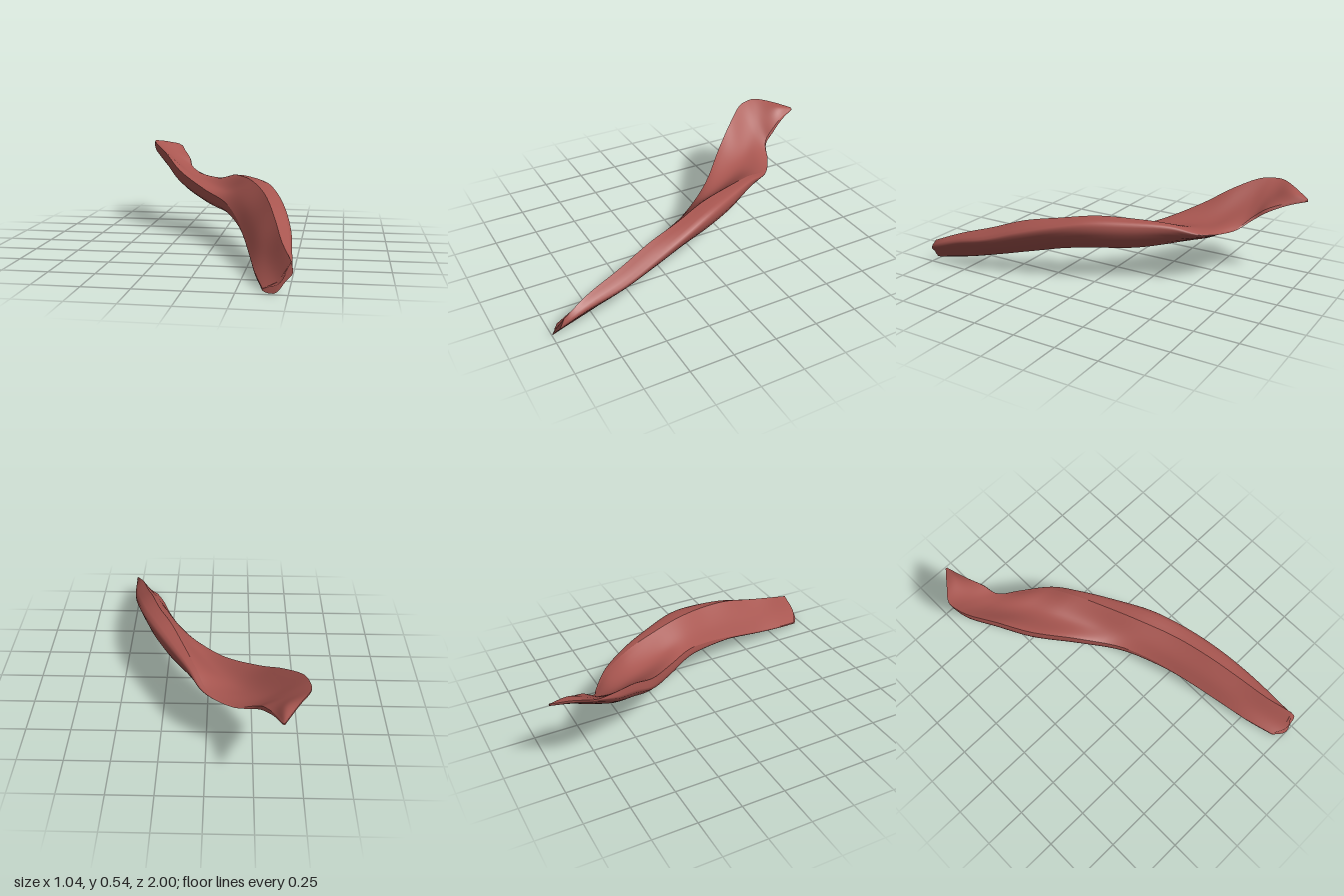
import * as THREE from 'three';

// Stations along the strip, back to front
const Z = [-1, -0.9, -0.8, -0.73, -0.67, -0.55, -0.4, -0.2, 0, 0.2, 0.4, 0.6, 0.8];

// Each rail is a lengthwise line of [x, y] points; frontZ shapes the ragged front end
const rail = (frontZ, points) => new THREE.CatmullRomCurve3(
  points.map(([x, y], i) => new THREE.Vector3(x, y, i < Z.length ? Z[i] : frontZ)));

const leftEdge = rail(0.95, [[-0.385, 0.485], [-0.455, 0.518], [-0.52, 0.535], [-0.513, 0.535], [-0.49, 0.527],
  [-0.4, 0.475], [-0.282, 0.385], [-0.092, 0.3], [0.06, 0.26], [0.155, 0.205], [0.22, 0.15], [0.275, 0.095],
  [0.325, 0.05], [0.375, 0.015]]);
const hollow = rail(0.99, [[-0.38, 0.482], [-0.39, 0.503], [-0.405, 0.475], [-0.375, 0.44], [-0.325, 0.4],
  [-0.21, 0.34], [-0.1, 0.315], [0.025, 0.305], [0.13, 0.318], [0.21, 0.28], [0.275, 0.235], [0.33, 0.175],
  [0.39, 0.115], [0.46, 0.055]]);
const ridge = rail(0.95, [[-0.375, 0.48], [-0.34, 0.458], [-0.29, 0.422], [-0.258, 0.37], [-0.155, 0.318],
  [-0.01, 0.322], [0.06, 0.365], [0.14, 0.385], [0.217, 0.39], [0.297, 0.365], [0.355, 0.33], [0.408, 0.265],
  [0.455, 0.205], [0.51, 0.15]]);
const outer = rail(0.98, [[-0.374, 0.475], [-0.335, 0.445], [-0.283, 0.4], [-0.252, 0.35], [-0.137, 0.312],
  [0.018, 0.317], [0.105, 0.358], [0.217, 0.372], [0.32, 0.37], [0.395, 0.332], [0.45, 0.278], [0.488, 0.213],
  [0.504, 0.165], [0.518, 0.1]]);
const belly = rail(1, [[-0.38, 0.472], [-0.4, 0.465], [-0.41, 0.435], [-0.38, 0.395], [-0.3, 0.335],
  [-0.19, 0.262], [-0.07, 0.225], [0.07, 0.19], [0.17, 0.18], [0.22, 0.155], [0.28, 0.115], [0.33, 0.07],
  [0.38, 0.03], [0.44, 0.008]]);

const ROWS = 78, COLS = 16;

const spline = (points) => new THREE.CatmullRomCurve3(points).getPoints(COLS);

// Dished face across the strip at t
const upperSection = (t) => spline([leftEdge, hollow, ridge].map((r) => r.getPoint(t)));

// Rounded underside at t, with a full right flank and an upright left side towards the back
function underSection(t) {
  const left = leftEdge.getPoint(t), out = outer.getPoint(t), low = belly.getPoint(t);
  const flank = out.clone().lerp(low, 0.4);
  flank.x += 0.055 * Math.sin(Math.PI * t);
  const side = left.clone();
  side.y -= 0.01 + 0.06 * Math.sin(Math.PI * THREE.MathUtils.clamp((t - 0.17) / 0.58, 0, 1));
  return spline([ridge.getPoint(t), out, flank, low, side, left]);
}

function makeGeometry(points, index) {
  const geometry = new THREE.BufferGeometry().setFromPoints(points);
  geometry.setIndex(index);
  geometry.computeVertexNormals();
  return geometry;
}

// Smooth skin lofted through a section along the strip
function skin(section) {
  const points = [], index = [], n = COLS + 1;
  for (let i = 0; i <= ROWS; i++) points.push(...section(i / ROWS));
  for (let i = 0; i < ROWS; i++) {
    for (let j = 0; j < COLS; j++) {
      const a = i * n + j, b = a + n;
      index.push(a, b, a + 1, b, b + 1, a + 1);
    }
  }
  return makeGeometry(points, index);
}

// Fan closing one end
function cap(t, front) {
  const loop = [...upperSection(t).slice(0, -1), ...underSection(t).slice(0, -1)];
  const center = new THREE.Vector3();
  loop.forEach((p) => center.addScaledVector(p, 1 / loop.length));
  const index = [], n = loop.length;
  for (let j = 0; j < n; j++) {
    const k = (j + 1) % n;
    index.push(n, front ? k : j, front ? j : k);
  }
  return makeGeometry([...loop, center], index);
}

export function createModel() {
  const group = new THREE.Group();
  group.name = 'twistedStrip';
  const flesh = new THREE.MeshStandardMaterial({ color: 0xa85650 });
  flesh.name = 'flesh red';
  const parts = {
    upperFace: skin(upperSection),
    underside: skin(underSection),
    frontEnd: cap(1, true),
    backEnd: cap(0, false),
  };
  for (const [name, geometry] of Object.entries(parts)) {
    const mesh = new THREE.Mesh(geometry, flesh);
    mesh.name = name;
    group.add(mesh);
  }
  return group;
}
